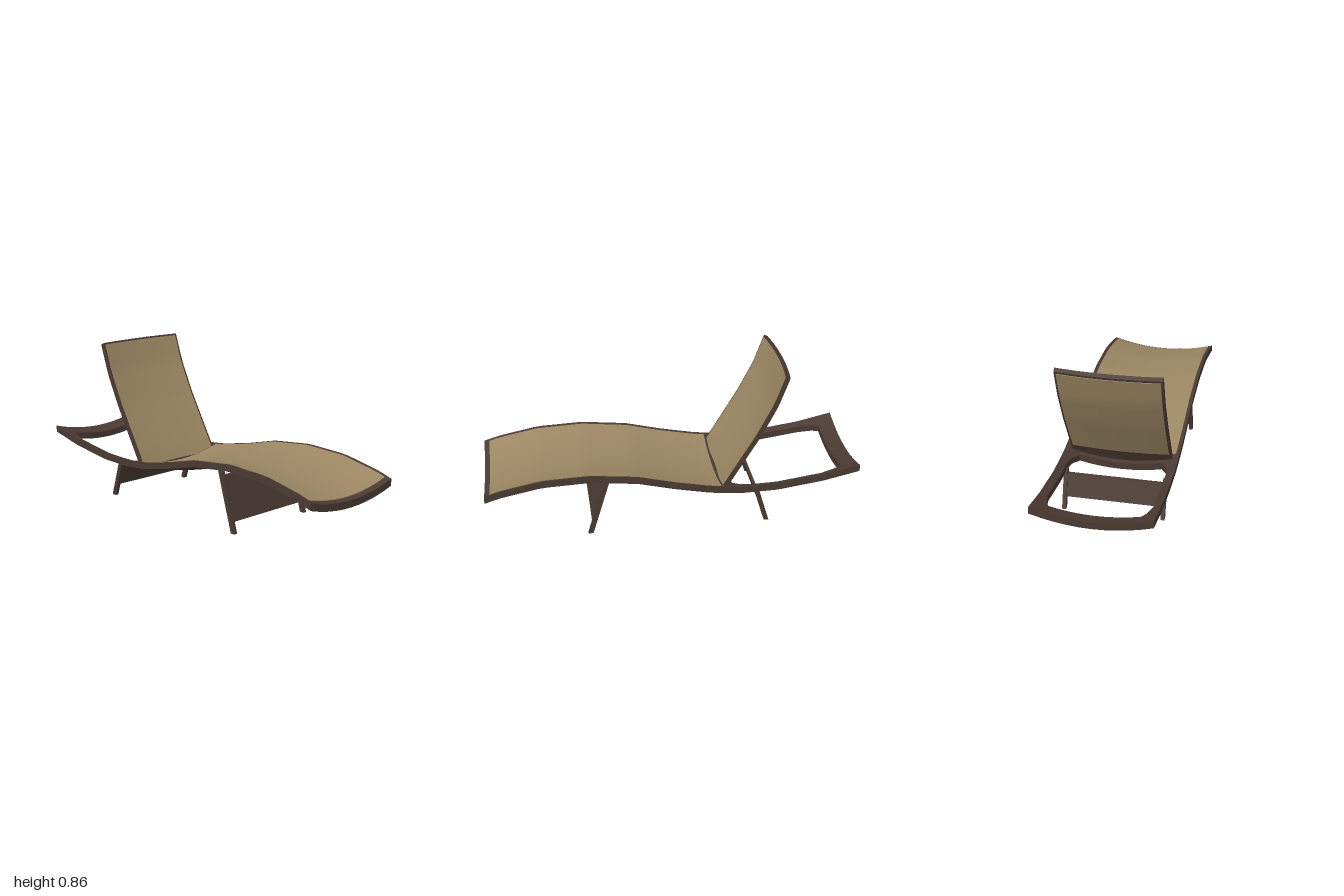
import * as THREE from 'three';
import { toCreasedNormals } from 'three/addons/utils/BufferGeometryUtils.js';

const HALF = 0.305; // half width of the deck

// Piecewise linear lookup in a list of [key, value]
function lookup(table, k) {
  let i = 1;
  while (i < table.length - 1 && k > table[i][0]) i++;
  const [a, b] = [table[i - 1], table[i]];
  return a[1] + (b[1] - a[1]) * (k - a[0]) / (b[0] - a[0]);
}

// Height of the deck edge along z
const deckLine = [[-1, 0.325], [-0.8, 0.28], [-0.55, 0.245], [-0.35, 0.24], [-0.2, 0.255], [0, 0.295],
  [0.2, 0.345], [0.45, 0.372], [0.7, 0.362], [0.92, 0.318], [1, 0.292]];
// Depth of the backrest face along y
const backLine = [[0.2, -0.247], [0.235, -0.262], [0.53, -0.435], [0.7, -0.52], [0.862, -0.577]];
// Inner edge of the rear rails along z, with softened corners
const railInner = [[-0.92, 0.225], [-0.88, 0.247], [-0.8, 0.264], [-0.42, 0.264], [-0.36, 0.25], [-0.32, 0.22]];

// Surfaces: x across, s along, d out from the face
const deckSurface = (x, s, d) => [x, lookup(deckLine, s) - 0.047 * (1 - (x / HALF) ** 2) + d, s];
const backSurface = (x, s, d) =>
  [x, s + 0.47 * d, lookup(backLine, s) - 0.018 * (1 - (x / 0.27) ** 2) + 0.88 * d];

export function createModel() {
  const model = new THREE.Group();
  model.name = 'sunLounger';
  const wood = new THREE.MeshStandardMaterial({ color: 0x4a3a32 });
  wood.name = 'dark brown wood';
  const fabric = new THREE.MeshStandardMaterial({ color: 0x9c8763 });
  fabric.name = 'tan fabric';

  function add(name, geometry, material, parent = model) {
    const mesh = new THREE.Mesh(geometry, material);
    mesh.name = name;
    parent.add(mesh);
    return mesh;
  }

  // Box bent onto a surface; xa and xb give the sides at each s
  function bent(surface, s0, s1, xa, xb, d0, d1, nx, ns) {
    const g = new THREE.BoxGeometry(1, 1, 1, nx, 1, ns);
    const p = g.attributes.position;
    for (let i = 0; i < p.count; i++) {
      const s = s0 + (s1 - s0) * (p.getZ(i) + 0.5);
      const x = THREE.MathUtils.lerp(xa(s), xb(s), p.getX(i) + 0.5);
      p.setXYZ(i, ...surface(x, s, d0 + (d1 - d0) * (p.getY(i) + 0.5)));
    }
    return toCreasedNormals(g, 0.6);
  }
  const both = (w) => [() => -w, () => w];

  // Deck with its sling
  add('deck', bent(deckSurface, -0.32, 1, ...both(HALF), -0.037, 0, 10, 28), wood);
  add('seatSling', bent(deckSurface, -0.25, 0.972, ...both(0.286), 0, 0.004, 10, 28), fabric);

  // Open rear frame
  for (const side of [1, -1]) {
    const inner = (s) => side * lookup(railInner, s);
    const outer = () => side * HALF;
    const [a, b] = side > 0 ? [inner, outer] : [outer, inner];
    add(side > 0 ? 'leftRail' : 'rightRail', bent(deckSurface, -0.92, -0.32, a, b, -0.037, 0, 2, 15), wood);
  }
  add('rearCrossbar', bent(deckSurface, -1, -0.915, ...both(HALF), -0.037, 0, 10, 2), wood);

  // Raised backrest, running from its top down to the seat
  add('backrestFrame', bent(backSurface, 0.862, 0.205, ...both(0.27), -0.024, 0, 10, 14), wood);
  add('backrestSling', bent(backSurface, 0.852, 0.21, ...both(0.259), 0, 0.003, 10, 14), fabric);
  add('backrestRearSling', bent(backSurface, 0.85, 0.29, ...both(0.259), -0.027, -0.024, 10, 14), fabric);

  // Leg frames: two leaning posts with a panel between them
  function legFrame(name, foot, top, panelLow, panelHigh) {
    const group = new THREE.Group();
    group.name = name;
    model.add(group);
    // Box sheared so that its ends stay level
    const leaning = (w, y0, y1, depth, x) => {
      const g = new THREE.BoxGeometry(w, y1 - y0, depth);
      g.translate(x, (y0 + y1) / 2, 0);
      const p = g.attributes.position;
      for (let i = 0; i < p.count; i++) {
        p.setZ(i, p.getZ(i) + foot + (top[0] - foot) * p.getY(i) / top[1]);
      }
      g.computeVertexNormals();
      return g;
    };
    for (const side of [1, -1]) {
      add(side > 0 ? 'leftPost' : 'rightPost', leaning(0.021, 0, top[1], 0.026, side * 0.263), wood, group);
    }
    add('panel', leaning(0.506, panelLow, panelHigh, 0.016, 0), wood, group);
  }
  legFrame('frontLegs', 0.453, [0.36, 0.312], 0.058, 0.29);
  legFrame('rearLegs', -0.506, [-0.443, 0.205], 0.065, 0.185);

  return model;
}
